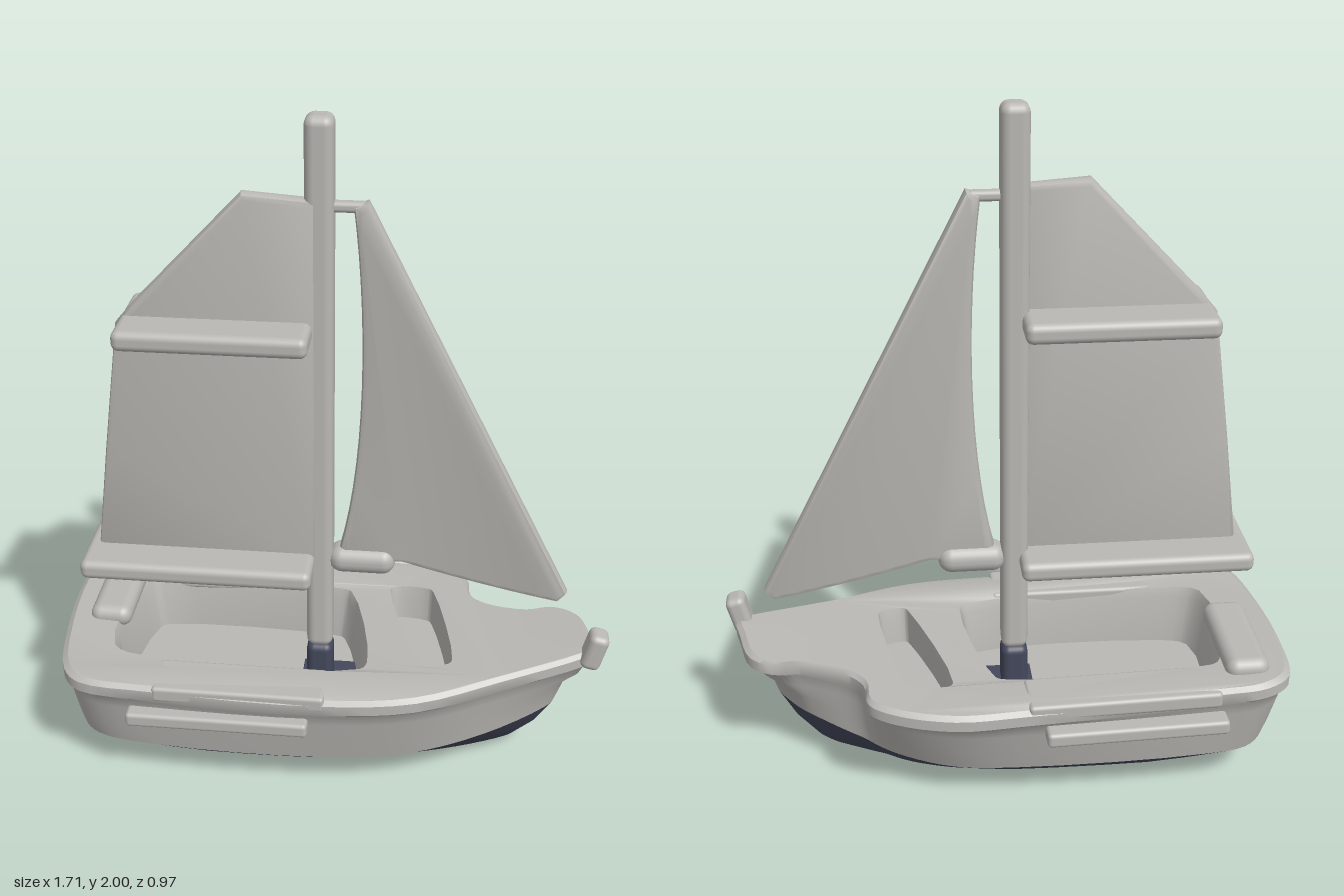
import * as THREE from 'three';
import { toCreasedNormals } from 'three/addons/utils/BufferGeometryUtils.js';
import { RoundedBoxGeometry } from 'three/addons/geometries/RoundedBoxGeometry.js';

const HEADING = 0.24; // the boat points a little away from straight right
const MID = -0.023; // z of the mast and fore sail in the boat's own frame

// Outlines as [along, across], clockwise seen from above
const RAIL = [
  [-.79, -.35], [-.715, -.4], [-.57, -.407], [-.02, -.436], [.19, -.447], [.36, -.407], [.43, -.358], [.445, -.262],
  [.5, -.206], [.63, -.165], [.71, -.175], [.775, -.139], [.81, -.028], [.825, .06], [.78, .09], [.55, .19],
  [.297, .3], [.02, .334], [-.49, .332], [-.697, .323], [-.755, .268], [-.797, .062], [-.81, -.18]];
const WATER = [
  [-.74, -.28], [-.68, -.34], [-.55, -.36], [0, -.36], [.19, -.34], [.33, -.29], [.4, -.25], [.45, -.21],
  [.5, -.18], [.58, -.13], [.64, -.09], [.68, -.05], [.71, -.01], [.71, .03], [.68, .06], [.5, .16],
  [.28, .24], [0, .28], [-.48, .28], [-.67, .25], [-.73, .19], [-.77, 0], [-.77, -.16]];
const COCKPIT = [[-.61, -.24], [-.58, -.27], [.03, -.265], [.06, -.25], [.14, .12], [.12, .16], [-.5, .18], [-.63, .14]];
const HATCH = [[.185, -.27], [.2, -.29], [.31, -.28], [.325, -.26], [.395, .1], [.385, .12], [.315, .14], [.3, .12]];

const deckY = (u) => 0.372 + (u > 0 ? 0.055 : 0.03) * (u / 0.8) ** 2;
const waterY = (u) => 0.125 + (u > 0.1 ? 0.075 * ((u - 0.1) / 0.6) ** 2 : 0.015 * ((0.1 - u) / 0.9) ** 2);

function smoothLoop(points, perSegment) {
  const curve = new THREE.CatmullRomCurve3(points.map(([u, v]) => new THREE.Vector3(u, 0, v)), true, 'centripetal');
  return curve.getPoints(points.length * perSegment).slice(0, -1);
}

// Copy of a loop scaled about a centre, with height given by a rule
const ringOf = (loop, su, sv, height, cu = -0.02, cv = -0.05) => loop.map((p) => {
  const u = cu + (p.x - cu) * su;
  return new THREE.Vector3(u, height(u), cv + (p.z - cv) * sv);
});

// Skin through rings from top to bottom, with an optional closing cap
function loft(rings, cap) {
  const out = [];
  const tri = (...ps) => ps.forEach((p) => out.push(p.x, p.y, p.z));
  const n = rings[0].length;
  for (let r = 0; r < rings.length - 1; r++) {
    for (let i = 0; i < n; i++) {
      const j = (i + 1) % n, a = rings[r], b = rings[r + 1];
      tri(a[i], a[j], b[i]);
      tri(a[j], b[j], b[i]);
    }
  }
  if (cap) {
    const last = rings[rings.length - 1];
    const c = last.reduce((s, p) => s.add(p), new THREE.Vector3()).divideScalar(n);
    for (let i = 0; i < n; i++) tri(last[i], last[(i + 1) % n], c);
  }
  const g = new THREE.BufferGeometry();
  g.setAttribute('position', new THREE.Float32BufferAttribute(out, 3));
  return toCreasedNormals(g, 0.7);
}

// Padded plate standing upright along the boat
function sailGeometry(shape, thickness, z) {
  const b = thickness * 0.3;
  const g = new THREE.ExtrudeGeometry(shape, {
    depth: thickness - 2 * b, bevelThickness: b, bevelSize: b, bevelOffset: -b, bevelSegments: 2, curveSegments: 14 });
  g.translate(0, 0, z - thickness / 2 + b);
  return toCreasedNormals(g, 0.7);
}

export function createModel() {
  const grey = new THREE.MeshStandardMaterial({ color: 0xbab8b4 });
  grey.name = 'weathered grey';
  const navy = new THREE.MeshStandardMaterial({ color: 0x44485b });
  navy.name = 'dark navy';

  const model = new THREE.Group();
  model.name = 'sailingBoat';
  const boat = new THREE.Group();
  boat.name = 'boat';
  boat.rotation.y = HEADING;
  model.add(boat);

  const add = (name, geometry, material, x = 0, y = 0, z = 0) => {
    const mesh = new THREE.Mesh(geometry, material);
    mesh.name = name;
    mesh.position.set(x, y, z);
    boat.add(mesh);
    return mesh;
  };
  const block = (name, w, h, d, r, material, x, y, z) =>
    add(name, new RoundedBoxGeometry(w, h, d, 3, r), material, x, y, z);

  // Hull sides with an overhanging rail
  const rail = smoothLoop(RAIL, 4), water = smoothLoop(WATER, 4);
  const between = (t, y) => rail.map((p, i) => {
    const q = p.clone().lerp(water[i], t);
    q.y = y(p.x);
    return q;
  });
  const deckEdge = ringOf(rail, 0.98, 0.965, deckY);
  const waterline = ringOf(water, 1, 1, waterY);
  add('hullSides', loft([
    deckEdge,
    between(0, (u) => deckY(u) - 0.013),
    between(0, (u) => deckY(u) - 0.045),
    between(0.25, (u) => deckY(u) - 0.062),
    between(0.4, (u) => deckY(u) - 0.1),
    between(0.75, (u) => waterY(u) + 0.06),
    waterline]), grey);

  // Painted bottom, fuller towards the bow and rising at the stern
  add('hullBottom', loft([
    waterline,
    ringOf(water, 0.92, 0.86, (u) => 0.085 + 0.05 * Math.max(0, u) + 0.05 * Math.max(0, -u - 0.4), 0.1),
    ringOf(water, 0.81, 0.66, (u) => 0.045 + 0.1 * Math.max(0, -u - 0.4), 0.1),
    ringOf(water, 0.74, 0.45, () => 0.028, 0.08)], true), navy);

  // Deck with two openings
  const flat = (loop) => loop.map((p) => new THREE.Vector2(p.x, -p.z));
  const cockpit = smoothLoop(COCKPIT, 4), hatch = smoothLoop(HATCH, 4);
  const deckShape = new THREE.Shape(flat(deckEdge));
  deckShape.holes.push(new THREE.Path(flat(cockpit)), new THREE.Path(flat(hatch)));
  const deck = new THREE.ShapeGeometry(deckShape).rotateX(-Math.PI / 2);
  const dp = deck.attributes.position;
  for (let i = 0; i < dp.count; i++) dp.setY(i, deckY(dp.getX(i)));
  deck.computeVertexNormals();
  add('deck', deck, grey);

  // Sunken wells below the openings
  const well = (name, loop, floor, cu, cv) => {
    const inside = loop.slice().reverse();
    add(name, loft([
      ringOf(inside, 1, 1, deckY, cu, cv),
      ringOf(inside, 0.97, 0.96, (u) => deckY(u) - 0.03, cu, cv),
      ringOf(inside, 0.92, 0.9, () => floor, cu, cv)], true), grey);
  };
  well('cockpitWell', cockpit, 0.2, -0.2, -0.05);
  well('foreHatchWell', hatch, 0.27, 0.29, -0.07);

  // Raised side decks, rubbing strakes and stern locker
  block('rightSideDeck', 0.51, 0.05, 0.15, 0.012, grey, -0.225, 0.36, 0.26);
  block('leftSideDeck', 0.56, 0.05, 0.15, 0.012, grey, -0.3, 0.36, -0.35).rotation.y = 0.03;
  block('rightStrake', 0.54, 0.045, 0.11, 0.012, grey, -0.288, 0.278, 0.303);
  block('leftStrake', 0.53, 0.045, 0.09, 0.012, grey, -0.335, 0.285, -0.41).rotation.y = 0.03;
  block('sternLocker', 0.13, 0.07, 0.36, 0.034, grey, -0.675, 0.397, -0.16);

  // Bow post and rudder stub
  block('bowPost', 0.06, 0.12, 0.075, 0.02, grey, 0.815, 0.44, 0.075).rotation.z = -0.25;
  block('rudderStub', 0.085, 0.08, 0.05, 0.024, navy, -0.565, 0.04, -0.035);

  // Mast with its painted foot
  block('mast', 0.08, 1.66, 0.086, 0.026, grey, -0.017, 1.17, MID);
  block('mastFoot', 0.081, 0.15, 0.087, 0.024, navy, -0.017, 0.27, MID);
  block('mastStep', 0.17, 0.008, 0.15, 0.003, navy, 0.01, 0.204, MID);

  // Main sail between two broad flat spars
  const main = new THREE.Shape([[-.02, .65], [-.02, 1.775], [-.225, 1.79], [-.54, 1.46], [-.59, 1.4], [-.645, 1], [-.69, .65]]
    .map(([x, y]) => new THREE.Vector2(x, y)));
  add('mainSail', sailGeometry(main, 0.055, -0.005), grey);
  block('lowerSpar', 0.69, 0.06, 0.295, 0.022, grey, -0.375, 0.652, -0.004);
  block('upperSpar', 0.54, 0.06, 0.31, 0.022, grey, -0.305, 1.4, -0.01);

  // Fore sail with a hollow inner edge, its top bar and its foot
  const fore = new THREE.Shape();
  fore.moveTo(0.115, 1.77);
  fore.lineTo(0.075, 1.755);
  fore.bezierCurveTo(0.115, 1.45, 0.12, 1.0, 0.04, 0.68);
  fore.lineTo(0.06, 0.64);
  fore.lineTo(0.23, 0.655);
  fore.quadraticCurveTo(0.48, 0.585, 0.7, 0.545);
  fore.lineTo(0.727, 0.575);
  fore.closePath();
  add('foreSail', sailGeometry(fore, 0.055, MID), grey);
  block('foreSailTopBar', 0.1, 0.03, 0.035, 0.012, grey, 0.06, 1.752, MID);
  block('foreSailFoot', 0.2, 0.085, 0.1, 0.04, grey, 0.11, 0.655, MID);

  return model;
}
